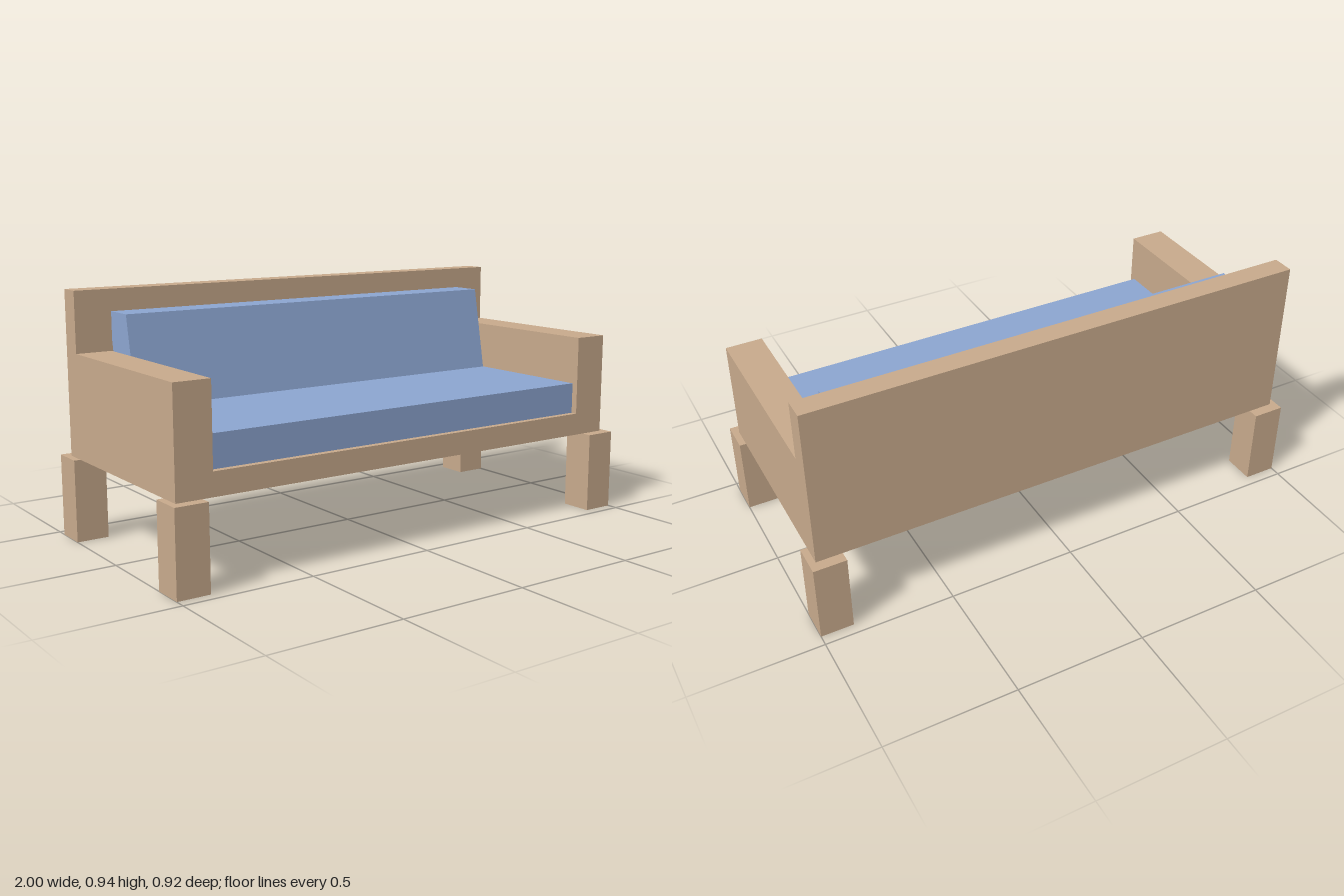
import * as THREE from 'three';

export function createModel() {
  const sofa = new THREE.Group();
  sofa.name = 'sofa';

  const wood = new THREE.MeshStandardMaterial({ color: 0xc8aa8c });
  wood.name = 'tan wood';
  const fabric = new THREE.MeshStandardMaterial({ color: 0x8ca5d0 });
  fabric.name = 'blue fabric';

  // Box given by its lower and upper corner
  function box(name, material, [x0, y0, z0], [x1, y1, z1]) {
    const geometry = new THREE.BoxGeometry(x1 - x0, y1 - y0, z1 - z0);
    const mesh = new THREE.Mesh(geometry, material);
    mesh.position.set((x0 + x1) / 2, (y0 + y1) / 2, (z0 + z1) / 2);
    mesh.name = name;
    sofa.add(mesh);
    return mesh;
  }

  // Frame
  box('base', wood, [-0.835, 0.313, -0.333], [0.835, 0.4, 0.417]);
  box('backrest', wood, [-0.975, 0.313, -0.417], [0.975, 0.938, -0.333]);

  // Arms and legs, mirrored
  for (const [side, s] of [['left', 1], ['right', -1]]) {
    const arm = box(side + 'Arm', wood, [0.835, 0.313, -0.333], [0.975, 0.708, 0.417]);
    arm.position.x *= s;
    for (const [end, e] of [['Front', 1], ['Back', -1]]) {
      const leg = box(side + end + 'Leg', wood, [0.875, 0, 0.333], [1, 0.313, 0.458]);
      leg.position.x *= s;
      leg.position.z *= e;
    }
  }

  // Seat cushion, set slightly back from the front of the base
  box('seatCushion', fabric, [-0.835, 0.4, -0.333], [0.835, 0.521, 0.392]);

  // Back cushion, sheared so that it leans against the backrest
  const back = box('backCushion', fabric, [-0.832, 0.521, -0.29], [0.832, 0.855, -0.145]);
  const p = back.geometry.attributes.position;
  for (let i = 0; i < p.count; i++) {
    if (p.getY(i) > 0) p.setZ(i, p.getZ(i) - 0.063);
  }
  back.geometry.computeVertexNormals();

  return sofa;
}
